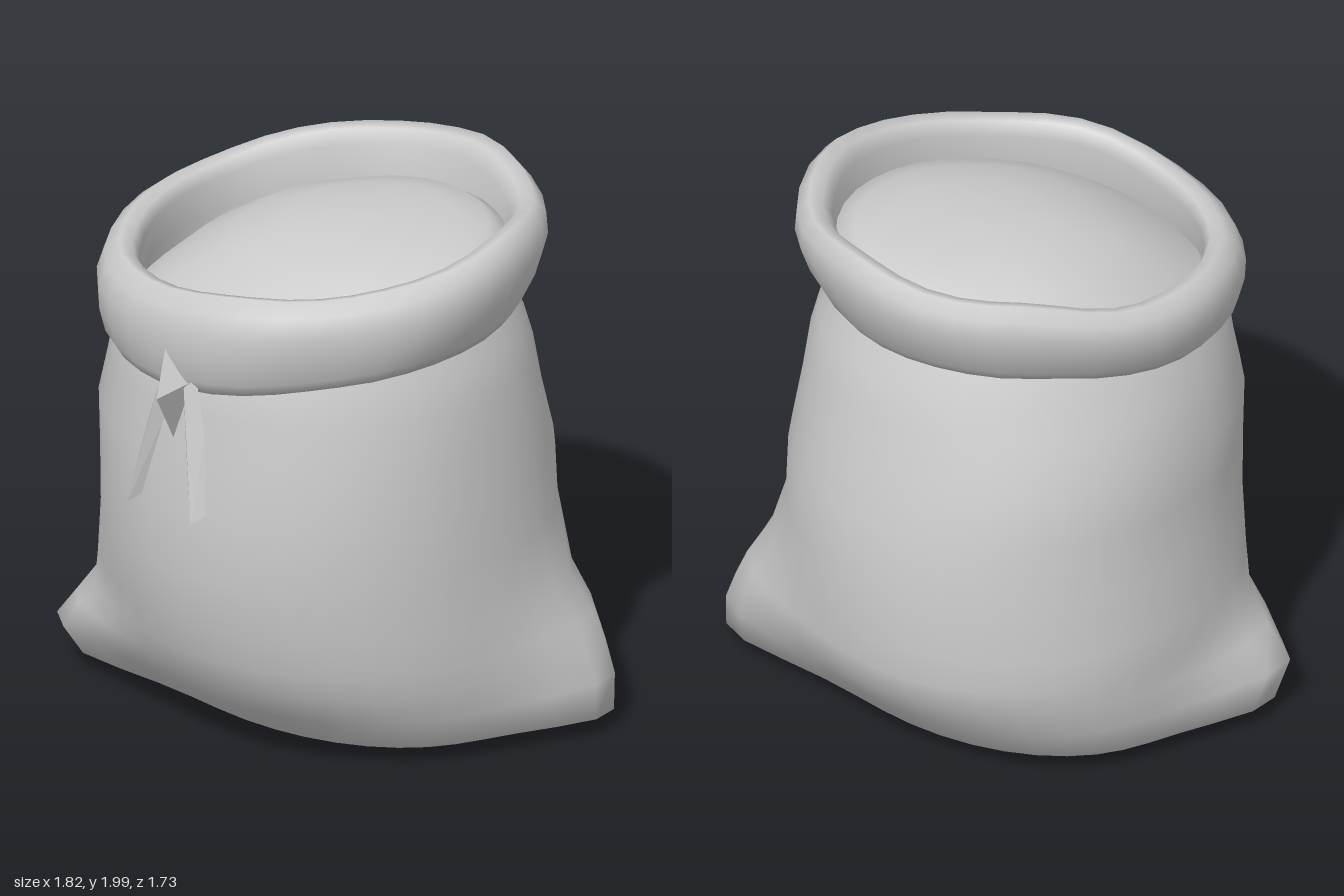
import * as THREE from 'three';
import { ConvexGeometry } from 'three/addons/geometries/ConvexGeometry.js';

const SEG = 36;
const mat = new THREE.MeshStandardMaterial({ color: 0xcccccc, side: THREE.DoubleSide });

// Skin a stack of closed rings; ring(i, angle) returns [x, y, z]
function loft(count, ring) {
  const pos = [], index = [];
  for (let i = 0; i < count; i++) {
    for (let j = 0; j < SEG; j++) {
      pos.push(...ring(i, (j / SEG) * Math.PI * 2));
      if (i === count - 1) continue;
      const a = i * SEG + j, b = i * SEG + ((j + 1) % SEG);
      index.push(a, a + SEG, b, b, a + SEG, b + SEG);
    }
  }
  const g = new THREE.BufferGeometry();
  g.setAttribute('position', new THREE.Float32BufferAttribute(pos, 3));
  g.setIndex(index);
  g.computeVertexNormals();
  return g;
}

function part(name, geometry) {
  const m = new THREE.Mesh(geometry, mat);
  m.name = name;
  return m;
}

// Cloth irregularity around the sack
const ripple = (a, s) => 0.6 * Math.sin(3 * a + s) + 0.4 * Math.sin(7 * a + 2.3 * s);

// Value around the sack from 12 samples, the first 15 degrees forward of +x
function around(values) {
  return a => {
    const t = (((a * 6) / Math.PI - 0.5) % 12 + 12) % 12;
    const i = Math.floor(t);
    return THREE.MathUtils.lerp(values[i], values[(i + 1) % 12], t - i);
  };
}
const cuffTop = around([1.92, 1.87, 1.855, 1.8, 1.785, 1.825, 1.85, 1.93, 1.955, 2.0, 1.95, 1.985]);
const cuffBottom = around([1.57, 1.53, 1.48, 1.44, 1.46, 1.52, 1.56, 1.6, 1.62, 1.61, 1.6, 1.59]);
const cuffWidth = around([1.0, 0.96, 0.98, 0.99, 1.035, 1.0, 0.98, 0.925, 0.99, 1.01, 1.03, 1.03]);

// Body sections: y, left x, right x, front z, back z, corner push on +x and -x side
const BODY = [
  [0.0, 0, 0, -0.12, -0.12, 0, 0],
  [0.005, -0.4, 0.4, 0.1, -0.36, 0.03, 0.03],
  [0.025, -0.62, 0.62, 0.28, -0.54, 0.25, 0.22],
  [0.07, -0.72, 0.73, 0.38, -0.64, 0.32, 0.31],
  [0.2, -0.765, 0.765, 0.53, -0.75, 0.27, 0.28],
  [0.32, -0.77, 0.78, 0.62, -0.83, 0.2, 0.17],
  [0.42, -0.78, 0.785, 0.66, -0.855, 0.15, 0.08],
  [0.55, -0.785, 0.785, 0.7, -0.86, 0.07, 0.04],
  [0.77, -0.765, 0.775, 0.74, -0.865, 0, 0],
  [1.0, -0.75, 0.765, 0.73, -0.83, 0, 0],
  [1.2, -0.755, 0.745, 0.72, -0.78, 0, 0],
  [1.38, -0.71, 0.73, 0.7, -0.735, 0, 0],
  [1.5, -0.685, 0.705, 0.69, -0.7, 0, 0],
  [1.62, -0.64, 0.66, 0.64, -0.645, 0, 0],
];
const CORNERS = [-0.52, 2.58];

function bodyPoint(i, a) {
  const [y, l, r, f, b, ...push] = BODY[i];
  // the upper sack is fuller along the diagonal between its corners
  const diagonal = -Math.sin(2 * a) * THREE.MathUtils.smoothstep(y, 0.5, 1);
  const k = 1 + (diagonal > 0 ? 0.04 : 0.04 * THREE.MathUtils.smoothstep(y, 1.1, 1.5)) * diagonal;
  let x = (l + r) / 2 + ((r - l) / 2) * k * Math.cos(a);
  let z = (f + b) / 2 + ((f - b) / 2) * k * Math.sin(a);
  // two opposite bottom corners stick out
  CORNERS.forEach((e, n) => {
    const d = Math.atan2(Math.sin(a - e), Math.cos(a - e));
    const w = push[n] * Math.exp(-((d / 0.42) ** 2));
    x += w * Math.cos(e);
    z += w * Math.sin(e);
  });
  return [x, y, z];
}

// Rolled cuff: radius, height between bottom (0) and top (1)
const CUFF = [
  [0.64, 0.1], [0.685, 0], [0.717, 0.13], [0.75, 0.38], [0.768, 0.65],
  [0.752, 0.87], [0.705, 1], [0.66, 0.97], [0.632, 0.82], [0.63, 0.4], [0.635, 0.1],
];

function cuffPoint(i, a) {
  const [r, t] = CUFF[i];
  const b = cuffBottom(a);
  const k = r * (cuffWidth(a) + 0.008 * ripple(a, 2 + t));
  return [0.005 + 0.015 * t + k * Math.cos(a), b + (cuffTop(a) - b) * t, 0.05 * (0.5 - t) + k * Math.sin(a)];
}

// Heaped contents, tilted up toward the back corner
const FILL = [[1, 0], [0.87, 0.42], [0.68, 0.74], [0.45, 0.92], [0.2, 0.985], [0, 1]];

function fillPoint(i, a) {
  const [r, h] = FILL[i];
  const edge = 1.67 - 0.06 * Math.sin(a) + 0.08 * Math.cos(a);
  const w = 0.645 * r * cuffWidth(a);
  return [0.015 + 0.11 * h + w * Math.cos(a), edge + (1.89 - edge) * h, -0.16 * h + w * Math.sin(a)];
}

// Creased strip from the knot to a hanging tip
function streamer(top, tip, w) {
  const pts = [];
  for (const [p, s] of [[top, 0.45], [top.clone().lerp(tip, 0.4), 1], [tip, 0.8]]) {
    pts.push(new THREE.Vector3(p.x - w * s, p.y, p.z - 0.02));
    pts.push(new THREE.Vector3(p.x + w * s, p.y + 0.03, p.z - 0.02));
    pts.push(new THREE.Vector3(p.x, p.y, p.z + 0.025));
  }
  return new ConvexGeometry(pts);
}

export function createModel() {
  const group = new THREE.Group();
  group.name = 'sack';
  group.add(part('body', loft(BODY.length, bodyPoint)));
  group.add(part('cuff', loft(CUFF.length, cuffPoint)));
  group.add(part('contents', loft(FILL.length, fillPoint)));

  // Knot and its two hanging ends
  const tie = new THREE.Group();
  tie.name = 'tie';
  const knot = [
    [-0.05, 1.62, 0.74], [-0.1, 1.43, 0.69], [0.04, 1.5, 0.7],
    [-0.03, 1.27, 0.72], [0.015, 1.48, 0.86], [-0.05, 1.42, 0.77],
  ].map(p => new THREE.Vector3(...p));
  tie.add(part('knot', new ConvexGeometry(knot)));
  const v = (x, y, z) => new THREE.Vector3(x, y, z);
  tie.add(part('rightStreamer', streamer(v(-0.07, 1.49, 0.72), v(-0.165, 1.01, 0.79), 0.038)));
  tie.add(part('leftStreamer', streamer(v(0.04, 1.49, 0.72), v(0.125, 1.01, 0.78), 0.044)));
  group.add(tie);
  return group;
}
